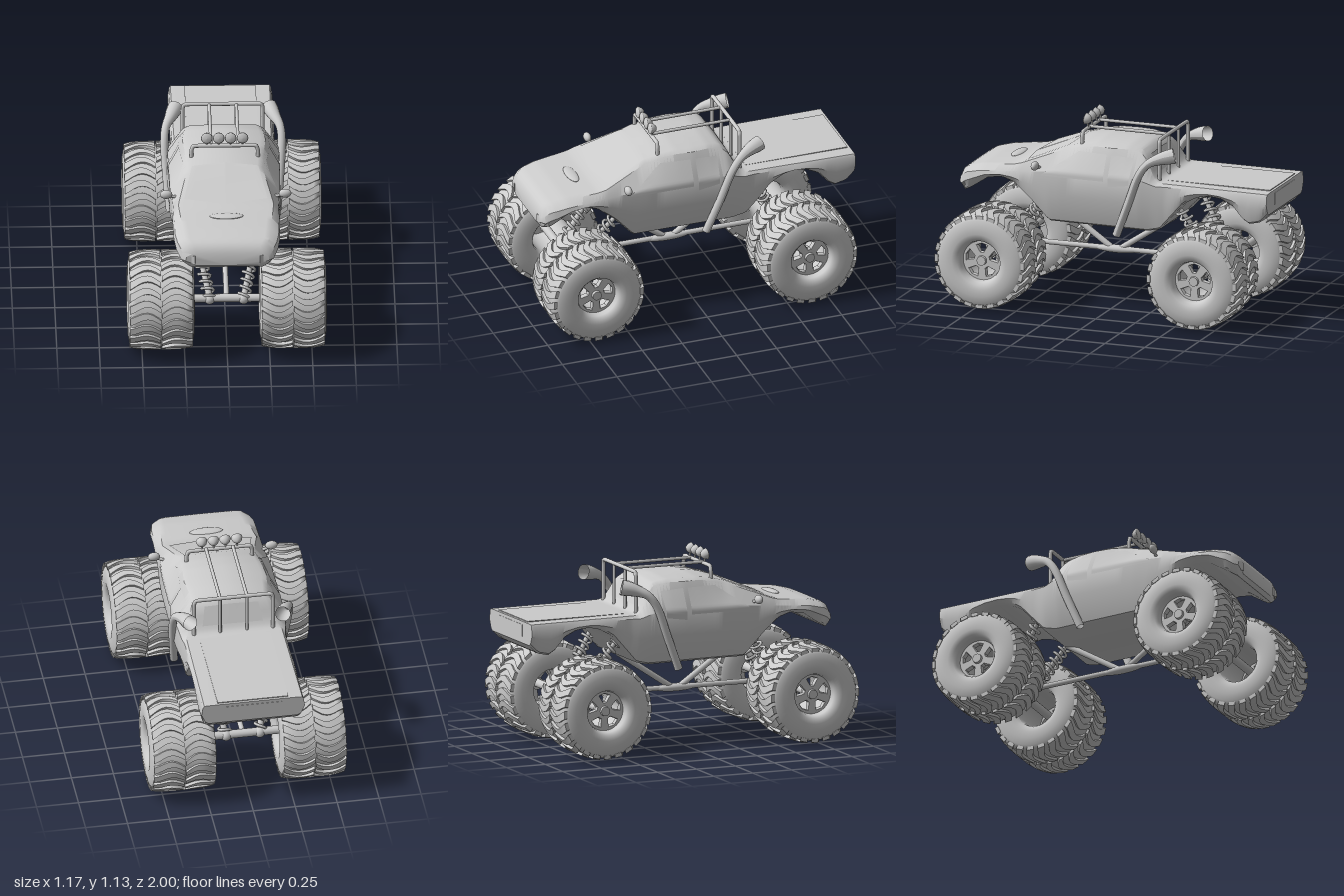
import * as THREE from 'three';
import { mergeGeometries, toCreasedNormals } from 'three/addons/utils/BufferGeometryUtils.js';

const grey = new THREE.MeshStandardMaterial({ color: 0xcccccc });
const thin = new THREE.MeshStandardMaterial({ color: 0xcccccc, side: THREE.DoubleSide });
const V = (x, y, z) => new THREE.Vector3(x, y, z);

function add(parent, name, geo, pos = [0, 0, 0], mat = grey) {
  const m = new THREE.Mesh(geo, mat);
  m.name = name;
  m.position.set(...pos);
  parent.add(m);
  return m;
}

// Piecewise linear curve through [z, value] pairs, z descending
const curve = (pts) => (z) => {
  let i = 1;
  while (i < pts.length - 1 && z < pts[i][0]) i++;
  const [z0, a] = pts[i - 1], [z1, b] = pts[i];
  return THREE.MathUtils.lerp(a, b, THREE.MathUtils.clamp((z - z0) / (z1 - z0), 0, 1));
};

// Body shape along its length
const topY = curve([[.95, .73], [.94, .76], [.9, .79], [.8, .815], [.6, .835], [.55, .85], [.3, .955], [.2, .985],
  [.1, 1], [-.1, 1], [-.18, .985], [-.22, .95], [-.28, .83], [-.31, .805], [-1, .8]]);
const bottomY = curve([[.95, .65], [.93, .63], [.86, .67], [.77, .73], [.68, .745], [.6, .72], [.5, .64], [.42, .55],
  [.38, .505], [-.24, .5], [-.32, .52], [-.4, .61], [-.47, .69], [-.55, .735], [-.62, .75], [-.7, .74], [-.78, .7],
  [-.84, .63], [-.88, .605], [-.95, .62], [-1, .67]]);
const beltY = curve([[.95, .71], [.9, .755], [.8, .78], [.55, .8], [.3, .82], [-.2, .82], [-.3, .785], [-1, .785]]);
const beltW = curve([[.95, .24], [.93, .265], [.88, .29], [.8, .305], [.5, .31], [.3, .32], [-.2, .325], [-.3, .31], [-.36, .3], [-1, .3]]);
const roofW = curve([[.95, .21], [.88, .25], [.55, .28], [.28, .22], [0, .245], [-.18, .225], [-.28, .265], [-.32, .285], [-1, .292]]);
const sillW = curve([[.95, .2], [.9, .27], [.5, .3], [.38, .28], [-.25, .28], [-.4, .295], [-1, .285]]);

// Half cross-section from bottom centre to top centre
function section(z) {
  const b = bottomY(z), t = topY(z), m = beltY(z), w = beltW(z), r = roofW(z), s = sillW(z), h = t - m;
  return [[0, b], [s - .02, b], [s, b + .012], [Math.max(w, s) + .008, b + (m - b) * .55], [w, m],
    [r, m + h * .86], [r - .03, m + h * .95], [0, t]];
}

function bodyGeometry() {
  const pos = [], idx = [], n = 98, k = 14;
  for (let i = 0; i <= n; i++) {
    const z = .95 - 1.95 * i / n, half = section(z);
    const ring = [...half, ...half.slice(1, -1).reverse().map(([x, y]) => [-x, y])];
    ring.forEach(([x, y]) => pos.push(x, y, z));
  }
  for (let i = 0; i < n; i++) for (let j = 0; j < k; j++) {
    const a = i * k + j, b = i * k + (j + 1) % k;
    idx.push(a, a + k, b + k, a, b + k, b);
  }
  for (let j = 1; j < k - 1; j++) idx.push(0, j, j + 1, n * k, n * k + j + 1, n * k + j);
  const g = new THREE.BufferGeometry();
  g.setAttribute('position', new THREE.Float32BufferAttribute(pos, 3));
  g.setIndex(idx);
  return toCreasedNormals(g, .55);
}

// Body surface lookups used to lay the glass on
function sideX(z, y) {
  const s = section(z);
  for (let i = 3; i < 7; i++) if (y <= s[i][1]) {
    return THREE.MathUtils.mapLinear(y, s[i - 1][1], s[i][1], s[i - 1][0], s[i][0]);
  }
  return s[6][0];
}
function roofY(x, z) {
  const s = section(z), i = Math.abs(x) < s[6][0] ? 7 : 6;
  return THREE.MathUtils.mapLinear(Math.abs(x), s[i - 1][0], s[i][0], s[i - 1][1], s[i][1]);
}

// Four-cornered patch in two coordinates, projected onto the body
function patch([a, b, c, d], project) {
  const g = new THREE.PlaneGeometry(1, 1, 12, 12), p = g.attributes.position;
  const mix = (i, u, v) => (a[i] * (1 - u) + b[i] * u) * (1 - v) + (d[i] * (1 - u) + c[i] * u) * v;
  for (let i = 0; i < p.count; i++) {
    const u = p.getX(i) + .5, v = p.getY(i) + .5;
    p.setXYZ(i, ...project(mix(0, u, v), mix(1, u, v)));
  }
  g.computeVertexNormals();
  return g;
}

const tube = (pts, r, seg = 32) =>
  new THREE.TubeGeometry(new THREE.CatmullRomCurve3(pts.map((p) => V(...p)), false, 'catmullrom', .25), seg, r, 10);

// Straight rod with closed ends
function rod(a, b, r0, r1 = r0) {
  const A = V(...a), d = V(...b).sub(A), g = new THREE.CylinderGeometry(r1, r0, d.length(), 14);
  g.applyQuaternion(new THREE.Quaternion().setFromUnitVectors(V(0, 1, 0), d.clone().normalize()));
  return g.translate(...A.addScaledVector(d, .5).toArray());
}

// Coil spring between two points
function spring(a, b, radius, wire, turns) {
  const A = V(...a), d = V(...b).sub(A), len = d.length(), pts = [];
  for (let i = 0; i <= turns * 10; i++) {
    const t = i / 10 * Math.PI * 2;
    pts.push(V(radius * Math.cos(t), len * i / (turns * 10), radius * Math.sin(t)));
  }
  const g = new THREE.TubeGeometry(new THREE.CatmullRomCurve3(pts), turns * 14, wire, 6);
  g.applyQuaternion(new THREE.Quaternion().setFromUnitVectors(V(0, 1, 0), d.normalize()));
  return g.translate(...a);
}

// One curved tread lug, bent around the tyre
function lug(side, angle) {
  const g = new THREE.BoxGeometry(1, 1, 1, 7, 1, 1), p = g.attributes.position;
  for (let i = 0; i < p.count; i++) {
    const u = .5 + side * p.getX(i), r = p.getY(i) > 0 ? .296 - .014 * u ** 4 : .26;
    const t = angle + .11 * Math.sin(u * 3.8) + .06 * u + p.getZ(i) * (.1 + .07 * u);
    p.setXYZ(i, side * (.003 + .182 * u), r * Math.cos(t), r * Math.sin(t));
  }
  g.computeVertexNormals();
  return g;
}

function wheel() {
  const w = new THREE.Group();
  const outer = [[.125, -.17], [.14, -.188], [.17, -.197], [.21, -.195], [.25, -.187], [.27, -.172], [.279, -.15]];
  const flip = outer.map(([r, y]) => [r, -y]).reverse();
  const profile = [...outer, ...flip, [.116, .13], [.116, -.13], outer[0]].map((p) => new THREE.Vector2(...p));
  add(w, 'tyre', new THREE.LatheGeometry(profile, 56).rotateZ(-Math.PI / 2));
  const lugs = [];
  for (let i = 0; i < 24; i++) for (const s of [1, -1]) lugs.push(lug(s, (i + (s > 0 ? 0 : .5)) * Math.PI / 12));
  add(w, 'tread', mergeGeometries(lugs));
  // Five-spoke rim
  const rim = new THREE.Shape().absarc(0, 0, .12, 0, Math.PI * 2);
  for (let i = 0; i < 5; i++) {
    const at = (r, da) => new THREE.Vector2(r * Math.sin(i * 1.2566 + da), r * Math.cos(i * 1.2566 + da));
    rim.holes.push(new THREE.Path([at(.05, -.22), at(.1, -.38), at(.106, 0), at(.1, .38), at(.05, .22)]));
  }
  const rimGeo = new THREE.ExtrudeGeometry(rim, { depth: .02, bevelSize: .004, bevelThickness: .008, bevelSegments: 1, curveSegments: 32 });
  add(w, 'rim', rimGeo.rotateY(Math.PI / 2), [.11, 0, 0]);
  add(w, 'hub', rod([.06, 0, 0], [.155, 0, 0], .038, .028));
  return w;
}

export function createModel() {
  const truck = new THREE.Group();
  truck.name = 'monsterTruck';
  add(truck, 'body', bodyGeometry());
  add(truck, 'bedCover', new THREE.BoxGeometry(.42, .01, .64), [0, .8, -.665]);
  add(truck, 'tailgate', new THREE.BoxGeometry(.34, .07, .01), [0, .745, -.997]);
  add(truck, 'rearWindow', patch([[-.18, -.275], [.18, -.275], [.16, -.222], [-.16, -.222]],
    (x, z) => [x, roofY(x, z) + .004, z]), [0, 0, 0], thin);
  add(truck, 'hoodScoop', new THREE.SphereGeometry(1, 20, 10).scale(.1, .012, .035), [0, .828, .67]);

  for (const s of [1, -1]) {
    // Glass and lamps
    add(truck, 'windshield', patch([[s * .003, .56], [s * .245, .52], [s * .195, .285], [s * .003, .265]],
      (x, z) => [x, roofY(x, z) + .004, z]), [0, 0, 0], thin);
    const side = (z, y) => [s * (sideX(z, y) + .004), y, z];
    add(truck, 'frontWindow', patch([[.42, .79], [.02, .79], [.02, .94], [.2, .94]], side), [0, 0, 0], thin);
    add(truck, 'quarterWindow', patch([[-.01, .76], [-.14, .78], [-.15, .93], [-.01, .94]], side), [0, 0, 0], thin);
    add(truck, 'headlight', new THREE.BoxGeometry(.06, .05, .03), [s * .215, .69, .932]).rotation.y = s * .4;
    add(truck, 'tailLight', new THREE.BoxGeometry(.05, .09, .012), [s * .255, .735, -.994]);
    // Door mirrors
    add(truck, 'mirrorArm', rod([s * .29, .83, .43], [s * .35, .845, .44], .009));
    add(truck, 'mirror', new THREE.SphereGeometry(1, 16, 12).scale(.037, .027, .022), [s * .35, .852, .44]);

    // Exhaust stack flaring into a horn
    const path = new THREE.CatmullRomCurve3([V(s * .315, .47, -.06), V(s * .335, .67, -.14), V(s * .345, .86, -.215),
      V(s * .335, .925, -.265), V(s * .305, .955, -.33), V(s * .275, .975, -.41)]);
    const stack = new THREE.TubeGeometry(path, 40, 1, 14), p = stack.attributes.position;
    for (let i = 0; i < p.count; i++) {
      const t = Math.floor(i / 15) / 40, c = path.getPointAt(t);
      const q = V(0, 0, 0).fromBufferAttribute(p, i).sub(c).multiplyScalar(.024 + .022 * THREE.MathUtils.smoothstep(t, .72, 1));
      p.setXYZ(i, ...q.add(c).toArray());
    }
    stack.computeVertexNormals();
    add(truck, 'exhaustStack', stack, [0, 0, 0], thin);
    add(truck, 'rackRail', rod([s * .08, 1.05, .2], [s * .08, 1.05, -.3], .01));
    add(truck, 'rackPost', rod([s * .08, 1.05, -.3], [s * .08, .8, -.3], .01));
  }

  // Roof rack hoops
  const hoop = (w, y, base, z) => tube([[-w, base, z], [-w, y - .03, z], [-w + .008, y - .008, z], [-w + .03, y, z],
    [w - .03, y, z], [w - .008, y - .008, z], [w, y - .03, z], [w, base, z]], .012, 90);
  add(truck, 'frontHoop', hoop(.195, 1.045, .95, .2));
  add(truck, 'rearHoop', hoop(.235, 1.052, .79, -.3));

  // Roof lamps
  const bowl = [[0, -.03], [.016, -.026], [.028, -.012], [.034, .008], [.03, .012], [.018, .017], [0, .019]];
  for (const x of [-.105, -.035, .035, .105]) {
    const geo = new THREE.LatheGeometry(bowl.map((q) => new THREE.Vector2(...q)), 24).rotateX(Math.PI / 2 - .15);
    add(truck, 'roofLamp', geo, [x, 1.1, .205]);
    add(truck, 'lampStem', rod([x, 1.04, .2], [x, 1.08, .2], .006));
  }

  // Axles, wheels and suspension
  for (const [end, z, zTop, yTop] of [['front', .705, .43, .63], ['rear', -.63, -.4, .65]]) {
    add(truck, end + 'Axle', rod([-.5, .3, z], [.5, .3, z], .025));
    for (const s of [1, -1]) {
      const w = wheel();
      w.name = end + (s > 0 ? 'LeftWheel' : 'RightWheel');
      w.position.set(s * .388, .296, z);
      if (s < 0) w.rotation.y = Math.PI;
      truck.add(w);
      const a = [s * .1, .3, z], b = [s * .19, yTop, zTop];
      add(truck, end + 'Spring', spring(a, b, .034, .009, 10));
      add(truck, end + 'Damper', rod(a, b, .02, .013));
      add(truck, end + 'SpringSeat', new THREE.SphereGeometry(.034, 16, 10), [s * .1, .296, z]);
    }
  }

  // Drive shaft, gearbox and centre struts
  add(truck, 'driveShaft', rod([0, .3, .705], [0, .3, -.63], .016));
  add(truck, 'gearbox', new THREE.SphereGeometry(1, 20, 12).scale(.028, .024, .14), [0, .298, .06]);
  add(truck, 'frontStrut', rod([0, .305, .09], [0, .54, .43], .018));
  add(truck, 'rearStrut', rod([0, .305, .03], [0, .53, -.31], .018));
  return truck;
}
